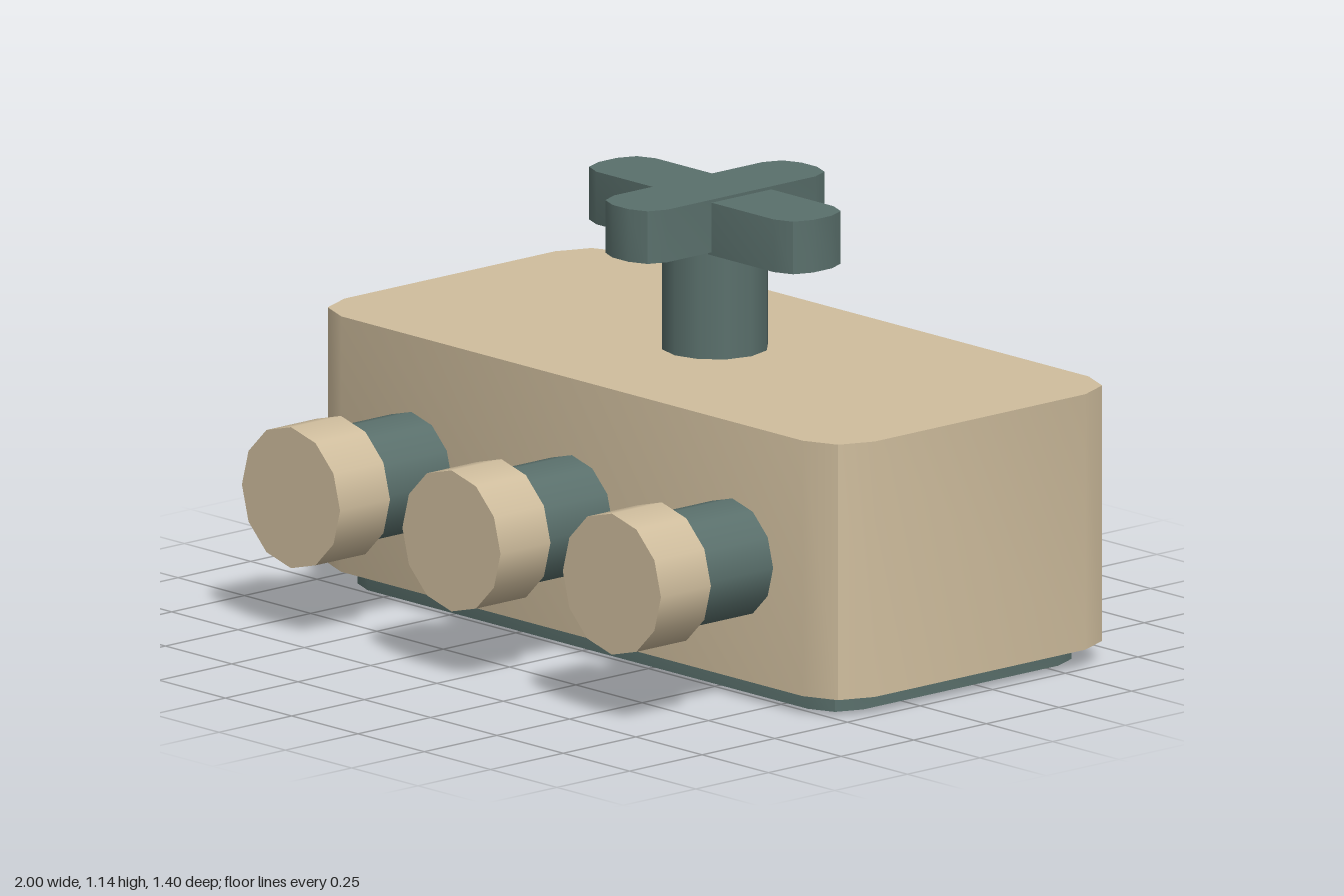
import * as THREE from 'three';
import { toCreasedNormals } from 'three/addons/utils/BufferGeometryUtils.js';

const tan = new THREE.MeshStandardMaterial({ color: 0xd0be9e });
tan.name = 'warm tan';
const green = new THREE.MeshStandardMaterial({ color: 0x5a706c });
green.name = 'grey green';

// Upright slab with chamfer-rounded corners, two facets per corner
function slab(name, material, width, depth, radius, y0, y1, z) {
  const w = width / 2, d = depth / 2, r = radius;
  const shape = new THREE.Shape();
  shape.absarc(w - r, d - r, r, 0, Math.PI / 2);
  shape.absarc(r - w, d - r, r, Math.PI / 2, Math.PI);
  shape.absarc(r - w, r - d, r, Math.PI, Math.PI * 1.5);
  shape.absarc(w - r, r - d, r, Math.PI * 1.5, Math.PI * 2);
  shape.closePath();
  const geo = new THREE.ExtrudeGeometry(shape, { depth: y1 - y0, bevelEnabled: false, curveSegments: 1 });
  geo.rotateX(-Math.PI / 2);
  const mesh = new THREE.Mesh(toCreasedNormals(geo, 0.55), material);
  mesh.name = name;
  mesh.position.set(0, y0, z);
  return mesh;
}

// Round bar lying along z
function nozzlePart(name, material, radius, z0, z1) {
  const geo = new THREE.CylinderGeometry(radius, radius, z1 - z0, 12);
  geo.rotateX(Math.PI / 2);
  const mesh = new THREE.Mesh(geo, material);
  mesh.name = name;
  mesh.position.z = (z0 + z1) / 2;
  return mesh;
}

export function createModel() {
  const model = new THREE.Group();
  model.name = 'valveBox';
  const bodyZ = -0.207;

  // Body and recessed foot
  model.add(slab('body', tan, 2, 0.985, 0.13, 0.05, 0.72, bodyZ));
  model.add(slab('foot', green, 1.86, 0.872, 0.1, 0, 0.06, bodyZ + 0.002));

  // Stem and crossed handle
  const stem = new THREE.Mesh(new THREE.CylinderGeometry(0.138, 0.138, 0.34, 12), green);
  stem.name = 'stem';
  stem.position.set(0, 0.87, bodyZ);
  model.add(stem);
  model.add(slab('handleCrossBar', green, 0.81, 0.205, 0.07, 0.995, 1.133, bodyZ));
  model.add(slab('handleLongBar', green, 0.2, 0.65, 0.07, 1.003, 1.141, bodyZ));

  // Three front outlets with caps
  [['right', -0.605], ['middle', 0], ['left', 0.605]].forEach(([side, x]) => {
    const outlet = new THREE.Group();
    outlet.name = side + 'Outlet';
    outlet.position.set(x, 0.365, 0);
    outlet.add(nozzlePart('pipe', green, 0.154, 0.25, 0.56));
    outlet.add(nozzlePart('cap', tan, 0.185, 0.528, 0.7));
    model.add(outlet);
  });
  return model;
}
